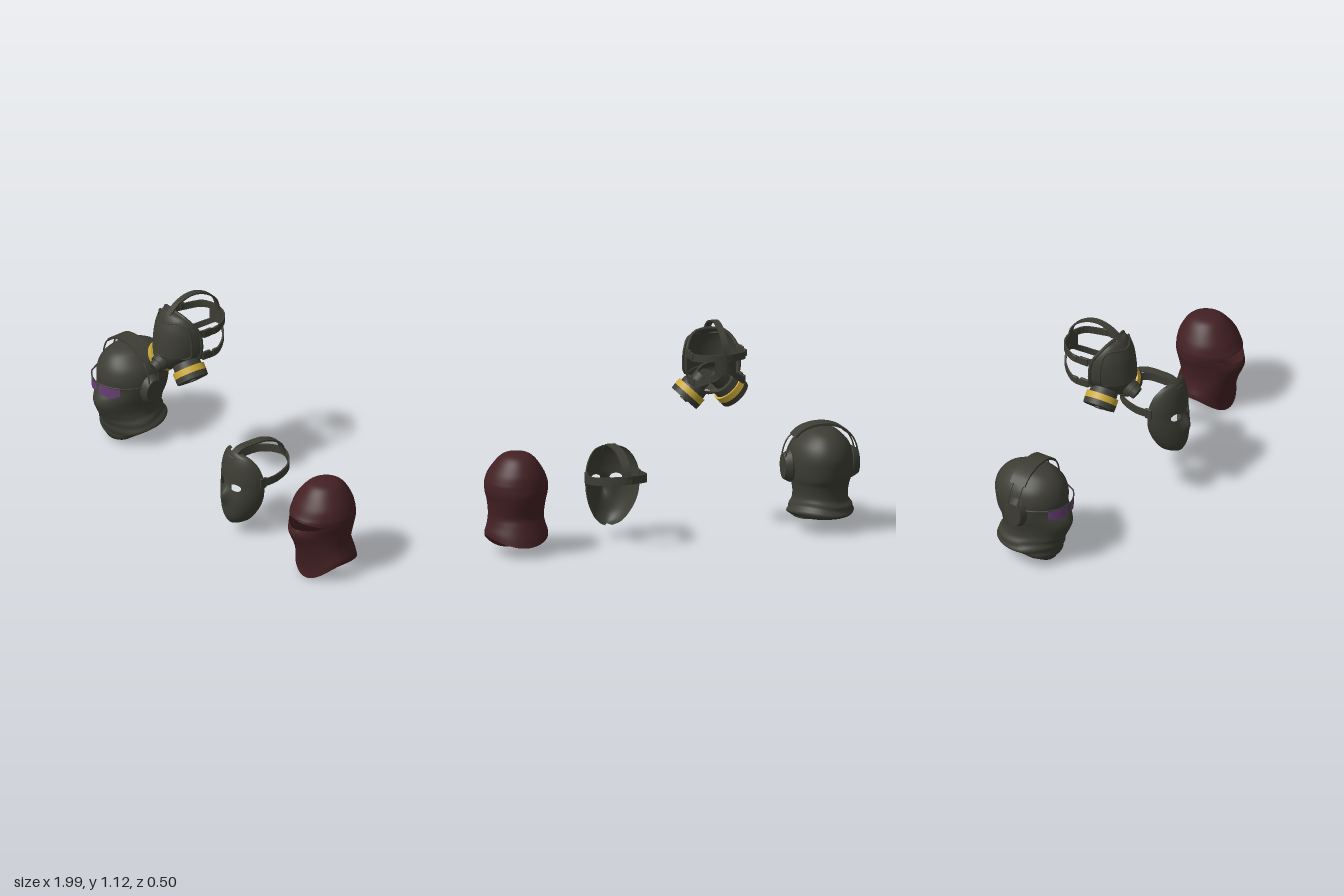
import * as THREE from 'three';
import { RoundedBoxGeometry } from 'three/addons/geometries/RoundedBoxGeometry.js';

const flat = (name, color) => {
  const m = new THREE.MeshStandardMaterial({ color, side: THREE.DoubleSide });
  m.name = name;
  return m;
};
const V = (x, y, z) => new THREE.Vector3(x, y, z);

// Smooth interpolation through a list of cross-section rows
function sampleRows(rows, u) {
  const f = u * (rows.length - 1), i = Math.min(Math.floor(f), rows.length - 2), t = f - i;
  const at = (k) => rows[THREE.MathUtils.clamp(k, 0, rows.length - 1)];
  return rows[i].map((_, c) => {
    const [a, b, d, e] = [at(i - 1)[c], at(i)[c], at(i + 1)[c], at(i + 2)[c]];
    return b + 0.5 * t * (d - a + t * (2 * a - 5 * b + 4 * d - e + t * (3 * (b - d) + e - a)));
  });
}

// Shell from rows [y, halfWidth, zFront, zMiddle, zBack, frontPoint, frontDrop, backDrop], top to bottom.
// holes: [angle, y, angleRadius, yRadius, roundness]; bump(v, t) reshapes each point.
function shell(rows, { arc = Math.PI, nu = 40, nt = 64, holes = [], bump } = {}) {
  const closed = arc === Math.PI, cols = closed ? nt : nt + 1;
  const pos = [], flatPos = [], index = [];
  const radius = (h, t, y) =>
    Math.pow(Math.abs((t - h[0]) / h[2]) ** h[4] + Math.abs((y - h[1]) / h[3]) ** h[4], 1 / h[4]);
  for (let i = 0; i <= nu; i++) {
    const [y0, w, zf, zm, zb, p, df, db] = sampleRows(rows, i / nu);
    for (let j = 0; j < cols; j++) {
      let t = -arc + 2 * arc * j / nt, y = y0;
      for (const h of holes) {
        const r = radius(h, t, y);
        if (r > 0.8 && r < 1.2) {
          t = h[0] + (t - h[0]) / r;
          y = h[1] + (y - h[1]) / r;
        }
      }
      const c = Math.cos(t);
      const v = V(w * Math.sin(t), y + (c > 0 ? df : db) * c * c,
        c > 0 ? zm + (zf - zm) * Math.pow(c, p) : zm + (zm - zb) * c);
      if (bump) bump(v, t);
      pos.push(v.x, v.y, v.z);
      flatPos.push([t, y]);
    }
  }
  const tri = (...ids) => {
    const mean = (k) => ids.reduce((s, id) => s + flatPos[id][k], 0) / 3;
    if (!holes.some((h) => radius(h, mean(0), mean(1)) < 0.99)) index.push(...ids);
  };
  for (let i = 0; i < nu; i++) for (let j = 0; j < nt; j++) {
    const k = (j + 1) % cols, a = i * cols + j, b = i * cols + k, c = a + cols, d = b + cols;
    tri(a, c, b);
    tri(b, c, d);
  }
  const g = new THREE.BufferGeometry();
  g.setAttribute('position', new THREE.Float32BufferAttribute(pos, 3));
  g.setIndex(index);
  g.computeVertexNormals();
  return g;
}

// Flat webbing strap swept along a curve
function strap(points, across, width, thick = 0.008, n = 32) {
  const curve = new THREE.CatmullRomCurve3(points), pos = [], index = [];
  for (let i = 0; i <= n; i++) {
    const p = curve.getPoint(i / n);
    const out = curve.getTangent(i / n).cross(across).normalize();
    for (const [a, b] of [[-1, -1], [1, -1], [1, 1], [-1, 1]]) {
      const q = p.clone().addScaledVector(across, a * width / 2).addScaledVector(out, b * thick / 2);
      pos.push(q.x, q.y, q.z);
    }
  }
  for (let i = 0; i < n; i++) for (let j = 0; j < 4; j++) {
    const a = i * 4 + j, b = i * 4 + (j + 1) % 4;
    index.push(a, b, a + 4, b, b + 4, a + 4);
  }
  const g = new THREE.BufferGeometry();
  g.setAttribute('position', new THREE.Float32BufferAttribute(pos, 3));
  g.setIndex(index);
  const f = g.toNonIndexed();
  f.computeVertexNormals();
  return f;
}
const tube = (pts, r, closed = false) =>
  new THREE.TubeGeometry(new THREE.CatmullRomCurve3(pts, closed), 40, r, 8, closed);
const mirrored = (pts) => [...pts, ...pts.slice(0, -1).reverse().map((p) => V(-p.x, p.y, p.z))];
const X = V(1, 0, 0), Y = V(0, 1, 0), Z = V(0, 0, 1);

export function createModel() {
  const olive = flat('dark olive', 0x3d3d35), red = flat('dark red', 0x432023);
  const yellow = flat('filter yellow', 0xc9a836), purple = flat('purple lens', 0x683f76);
  const model = new THREE.Group();
  const item = (name, x) => {
    const g = new THREE.Group();
    g.name = name;
    g.position.x = x;
    model.add(g);
    return (part, geo, mat, at = V(0, 0, 0)) => {
      const m = new THREE.Mesh(geo, mat);
      m.name = part;
      m.position.copy(at);
      g.add(m);
      return m;
    };
  };

  // Hooded head with collar, glasses and headset
  let add = item('hoodedHead', -0.8);
  add('hoodAndCollar', shell([
    [0.545, 0, -0.04, -0.04, -0.04, 1, 0, 0], [0.535, 0.06, 0.035, -0.04, -0.12, 1, 0, 0],
    [0.51, 0.1, 0.09, -0.04, -0.18, 1, 0, 0], [0.46, 0.145, 0.13, -0.03, -0.225, 1, 0, 0],
    [0.4, 0.163, 0.148, -0.03, -0.245, 1, 0, 0], [0.34, 0.163, 0.15, -0.03, -0.24, 1.1, 0, 0],
    [0.29, 0.157, 0.18, -0.03, -0.23, 1.4, 0, 0], [0.25, 0.147, 0.188, -0.03, -0.21, 1.5, 0, 0],
    [0.2, 0.14, 0.165, -0.03, -0.2, 1.4, -0.005, 0], [0.165, 0.147, 0.14, -0.03, -0.205, 1.2, -0.02, 0],
    [0.135, 0.165, 0.125, -0.03, -0.218, 1.1, -0.045, 0], [0.112, 0.171, 0.112, -0.03, -0.227, 1, -0.065, -0.01],
    [0.098, 0.162, 0.095, -0.03, -0.215, 1, -0.075, -0.01]], {
    nu: 60,
    bump(v, t) { // soft cloth folds around the neck
      const k = 0.02 * Math.sin(v.y * 130 + 2 * Math.sin(2 * t)) * THREE.MathUtils.smoothstep(0.2 - v.y, 0, 0.06);
      v.x *= 1 + k;
      v.z *= 1 + k;
    } }), olive);
  const bow = (x) => 0.18 - 3.8 * x * x;
  for (const s of [-1, 1]) {
    const lens = new THREE.PlaneGeometry(1, 1, 12, 4), p = lens.attributes.position;
    for (let i = 0; i < p.count; i++) {
      const u = p.getX(i) + 0.5, v = p.getY(i) + 0.5, x = s * (0.009 + 0.109 * u);
      const low = 0.355 - 0.038 * Math.pow(Math.sin(Math.PI * (0.1 + 0.78 * u)), 0.6);
      p.setXYZ(i, x, THREE.MathUtils.lerp(low, 0.378, v), bow(x));
    }
    lens.computeVertexNormals();
    add('lens', lens, purple);
    add('glassesArm', tube([V(s * 0.118, 0.378, bow(0.118)), V(s * 0.158, 0.374, 0.05), V(s * 0.17, 0.37, -0.02)], 0.004), olive);
    for (const [part, outer, inner, h, x] of [
      ['earCushion', 0.082, 0.075, 0.025, 0.153], ['earCup', 0.066, 0.085, 0.035, 0.182]])
      add(part, new THREE.CylinderGeometry(outer, inner, h, 28).scale(0.75, 1, 1).rotateX(Math.PI / 2).rotateY(Math.PI / 2)
        .rotateX(Math.PI / 2).rotateZ(s > 0 ? 0 : Math.PI).rotateX(Math.PI / 2), olive, V(s * x, 0.345, -0.035));
    for (const z of [-0.065, -0.005])
      add('headbandWire', tube([V(s * 0.115, 0.527, z), V(s * 0.165, 0.48, z), V(s * 0.19, 0.42, z), V(s * 0.195, 0.36, z)], 0.004), olive);
  }
  add('glassesFrame', tube([-0.118, -0.07, 0, 0.07, 0.118].map((x) => V(x, 0.381, bow(x))), 0.0035), olive);
  add('headband', strap(mirrored([V(0.145, 0.5, -0.04), V(0.11, 0.53, -0.04), V(0.06, 0.55, -0.04), V(0, 0.557, -0.04)]), Z, 0.09, 0.012), olive);

  // Respirator with twin filters
  add = item('respirator', -0.25);
  const face = [
    [1.06, 0.02, 0.13, 0.11], [1.05, 0.075, 0.148, 0.1], [1.02, 0.11, 0.168, 0.08],
    [0.97, 0.135, 0.187, 0.05], [0.9, 0.143, 0.2, 0.04], [0.84, 0.135, 0.208, 0.04],
    [0.79, 0.1, 0.2, 0.05], [0.75, 0.06, 0.18, 0.07], [0.73, 0.02, 0.15, 0.09]];
  const full = (r) => [...r, r[3], 1, 0, 0];
  add('faceShell', shell(face.map(full), { arc: Math.PI / 2 }), olive);
  const sealEdge = face.map((r) => V(r[1], r[0], r[3]));
  add('faceSeal', tube([...sealEdge, ...sealEdge.map((p) => V(-p.x, p.y, p.z)).reverse()], 0.009, true), olive);
  const visor = face.slice(2, 6).map((r) => [r[0], r[1] + 0.006, r[2] + 0.008, r[3]]);
  add('visor', shell(visor.map(full), { arc: 1.2, nu: 16, nt: 32 }), olive);
  const rim = (s) => visor.map((r) => V(s * r[1] * Math.sin(1.2), r[0], r[3] + (r[2] - r[3]) * Math.cos(1.2)));
  const middle = (r) => V(0, r[0], r[2]);
  add('visorRim', tube([...rim(1), middle(visor[3]), ...rim(-1).reverse(), middle(visor[0])], 0.006, true), olive);
  add('noseCup', new THREE.SphereGeometry(0.075, 24, 12, 0, Math.PI).scale(1, 0.9, 1.3), olive, V(0, 0.82, 0.08));
  const valveAxis = V(0, -0.45, 0.9).normalize();
  for (const [r, h, d] of [[0.045, 0.06, 0], [0.034, 0.04, 0.038]])
    add('outletValve', new THREE.CylinderGeometry(r, r * 1.1, h, 24), olive,
      V(0, 0.79, 0.185).addScaledVector(valveAxis, d)).quaternion.setFromUnitVectors(Y, valveAxis);
  for (const s of [-1, 1]) {
    const axis = V(s * 0.68, -0.73, 0.05).normalize(), end = V(s * 0.138, 0.708, 0.092);
    for (const [part, r, r2, h, d, mat] of [
      ['filterStem', 0.045, 0.05, 0.07, -0.115, olive], ['filterBody', 0.08, 0.07, 0.095, -0.05, olive],
      ['filterBand', 0.085, 0.085, 0.034, -0.046, yellow], ['filterLid', 0.083, 0.085, 0.029, -0.0145, olive],
      ['filterBoss', 0.022, 0.022, 0.008, 0.003, olive]])
      add(part, new THREE.CylinderGeometry(r, r2, h, 32), mat,
        end.clone().addScaledVector(axis, d)).quaternion.setFromUnitVectors(Y, axis);
    for (const [y, x] of [[0.96, 0.142], [0.825, 0.135]]) {
      add('buckle', new RoundedBoxGeometry(0.014, 0.046, 0.05, 2, 0.005), olive, V(s * x, y, 0.005));
      add('strapSlide', new RoundedBoxGeometry(0.014, 0.036, 0.03, 2, 0.005), olive, V(s * x, y, -0.05));
    }
  }
  add('upperStrap', strap(mirrored([V(0.135, 0.965, 0.06), V(0.143, 0.96, 0), V(0.135, 0.955, -0.07), V(0.09, 0.965, -0.145), V(0, 0.965, -0.175)]), Y, 0.038), olive);
  add('lowerStrap', strap(mirrored([V(0.13, 0.83, 0.05), V(0.138, 0.82, -0.01), V(0.125, 0.82, -0.08), V(0.075, 0.855, -0.15), V(0, 0.9, -0.175)]), Y, 0.034), olive);
  add('rearPad', strap(mirrored([V(0.055, 0.93, -0.162), V(0, 0.93, -0.176)]), Y, 0.09), olive);
  add('crownStrap', strap([V(0, 1.05, 0.145), V(0, 1.1, 0.085), V(0, 1.122, 0), V(0, 1.1, -0.08), V(0, 1.04, -0.15), V(0, 0.95, -0.176)], X, 0.034), olive);

  // Plain face mask with straps
  add = item('faceMask', 0.285);
  add('maskShell', shell([
    [0.487, 0.04, 0.135, 0.11], [0.472, 0.085, 0.145, 0.09], [0.43, 0.12, 0.16, 0.065],
    [0.37, 0.14, 0.17, 0.05], [0.31, 0.143, 0.173, 0.045], [0.25, 0.137, 0.183, 0.045],
    [0.19, 0.12, 0.187, 0.055], [0.13, 0.09, 0.182, 0.075], [0.09, 0.055, 0.165, 0.09],
    [0.07, 0.015, 0.145, 0.11]].map(full), {
    arc: Math.PI / 2, nu: 90, nt: 70,
    holes: [-1, 1].map((s) => [s * 0.405, 0.31, 0.225, 0.019, 2]),
    bump(v) { v.z += 0.03 * Math.exp(-((v.x / 0.025) ** 2) - ((v.y - 0.255) / 0.045) ** 2); }
  }), olive);
  for (const s of [-1, 1])
    add('strapLug', new RoundedBoxGeometry(0.012, 0.06, 0.04, 2, 0.005), olive, V(s * 0.14, 0.34, 0.05));
  add('sideStrap', strap(mirrored([V(0.14, 0.34, 0.06), V(0.146, 0.345, -0.03), V(0.113, 0.36, -0.13), V(0, 0.37, -0.188)]), Y, 0.042), olive);
  add('crownStrap', strap([V(0, 0.46, 0.15), V(0, 0.495, 0.1), V(0, 0.5, 0.02), V(0, 0.49, -0.07), V(0, 0.44, -0.155), V(0, 0.36, -0.188)], X, 0.045), olive);

  // Balaclava with an eye slit
  add = item('balaclava', 0.83);
  add('hood', shell([
    [0.53, 0, -0.03, -0.03, -0.03, 1, 0, 0], [0.52, 0.06, 0.03, -0.03, -0.1, 1, 0, 0],
    [0.49, 0.1, 0.07, -0.03, -0.145, 1, 0, 0], [0.43, 0.142, 0.115, -0.02, -0.18, 1, 0, 0],
    [0.385, 0.16, 0.14, -0.02, -0.192, 1.1, 0, 0], [0.36, 0.164, 0.155, -0.02, -0.195, 1.2, 0, 0],
    [0.325, 0.162, 0.163, -0.02, -0.197, 1.35, 0, 0], [0.285, 0.153, 0.176, -0.02, -0.19, 1.5, 0, 0],
    [0.24, 0.146, 0.16, -0.02, -0.178, 1.4, 0, 0], [0.2, 0.143, 0.14, -0.02, -0.17, 1.2, 0, 0],
    [0.16, 0.15, 0.117, -0.02, -0.18, 1.1, -0.025, 0], [0.125, 0.162, 0.1, -0.02, -0.195, 1, -0.07, -0.02],
    [0.103, 0.163, 0.1, -0.02, -0.205, 1, -0.1, -0.043]], {
    nu: 96, nt: 96, holes: [[0, 0.339, 1, 0.025, 1.3]] }), red);
  return model;
}
